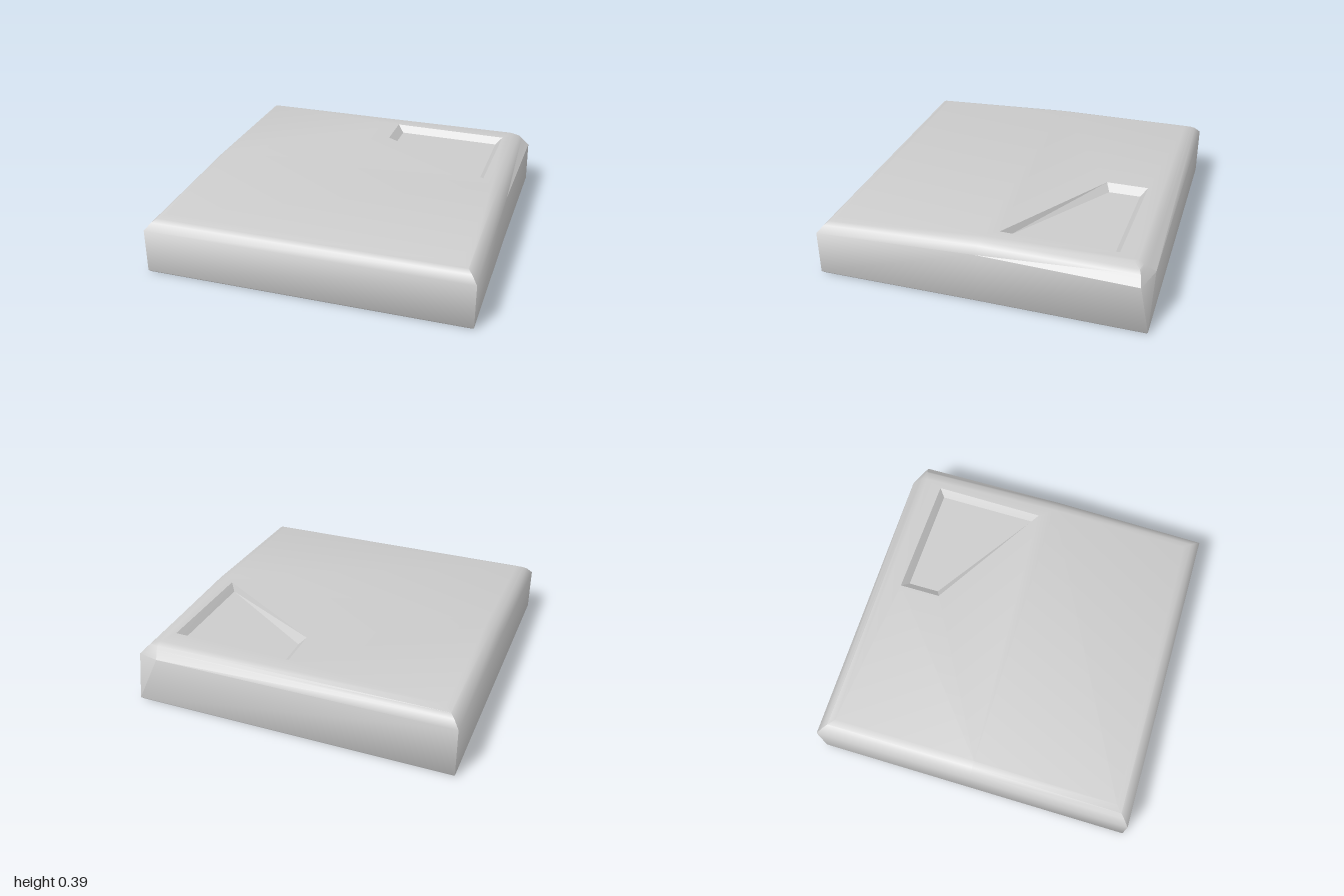
import * as THREE from 'three';
import { toCreasedNormals } from 'three/addons/utils/BufferGeometryUtils.js';

const material = new THREE.MeshStandardMaterial({ color: 0xcccccc });

// Pushes one triangle, skipping collapsed ones
function tri(out, a, b, c) {
  const area = b.clone().sub(a).cross(c.clone().sub(a)).length();
  if (area > 1e-8) for (const p of [a, b, c]) out.push(p.x, p.y, p.z);
}

// Walls between two rings, both counter-clockwise seen from above
function loft(out, lower, upper) {
  lower.forEach((a, i) => {
    const j = (i + 1) % lower.length;
    tri(out, a, lower[j], upper[j]);
    tri(out, a, upper[j], upper[i]);
  });
}

// Roughly level face with an optional hole
function cap(out, ring, hole = [], down = false) {
  const flat = (p) => new THREE.Vector2(p.x, -p.z);
  const all = [...ring, ...hole];
  const faces = THREE.ShapeUtils.triangulateShape(ring.map(flat), hole.length ? [hole.map(flat)] : []);
  for (const [a, b, c] of faces) {
    if (down) tri(out, all[a], all[c], all[b]);
    else tri(out, all[a], all[b], all[c]);
  }
}

function makeMesh(name, positions, crease) {
  const geometry = new THREE.BufferGeometry();
  geometry.setAttribute('position', new THREE.Float32BufferAttribute(positions, 3));
  const mesh = new THREE.Mesh(toCreasedNormals(geometry, crease), material);
  mesh.name = name;
  return mesh;
}

// The upper surface falls away toward the front
const drop = (z) => 0.039 * Math.max(0, z);

// Slab outline at one level; the back corner is replaced by two chip points
function slabRing(inset, y, chip, sloped) {
  const e = 1 - inset;
  const r = 0.99 - inset;
  const at = (x, z) => new THREE.Vector3(x, sloped ? y - drop(z) : y, z);
  return [
    at(-e, e), at(r, e), at(r, 0),
    ...chip.map((p) => new THREE.Vector3(...p)),
    at(-e, -e), at(-e, 0),
  ];
}

export function createModel() {
  const group = new THREE.Group();
  group.name = 'stoneSlab';

  // Foot, wall, rounded shoulder and top edge
  const rings = [
    slabRing(0.01, 0, [[0.99, 0, -0.99], [0.99, 0, -0.99]], false),
    slabRing(0, 0.012, [[1, 0.012, -1], [1, 0.012, -1]], false),
    slabRing(0, 0.322, [[1, 0.3, -0.945], [0.85, 0.322, -1]], true),
    slabRing(0.035, 0.362, [[0.95, 0.35, -0.93], [0.87, 0.357, -0.955]], true),
    slabRing(0.06, 0.379, [[0.93, 0.372, -0.92], [0.875, 0.376, -0.935]], true),
    slabRing(0.1, 0.393, [[0.89, 0.393, -0.88], [0.87, 0.393, -0.9]], true),
  ];
  const top = rings[rings.length - 1];

  // Recess rim and floor
  const level = (y) => ([x, z]) => new THREE.Vector3(x, y, z);
  const rim = [[0.07, -0.55], [0.82, -0.09], [0.83, -0.79], [0.07, -0.81]].map(level(0.393));
  const floor = [[0.115, -0.575], [0.785, -0.13], [0.79, -0.755], [0.115, -0.77]].map(level(0.35));

  // Slab body with sloping front half and level back half
  const body = [];
  cap(body, rings[0], [], true);
  for (let i = 1; i < rings.length; i++) loft(body, rings[i - 1], rings[i]);
  cap(body, [top[0], top[1], top[2], top[6]]);
  cap(body, top.slice(2), rim);
  group.add(makeMesh('slab', body, 0.75));

  // Four-sided recess in the top
  const recess = [];
  loft(recess, rim, floor);
  cap(recess, floor);
  group.add(makeMesh('recess', recess, 0.2));

  return group;
}
